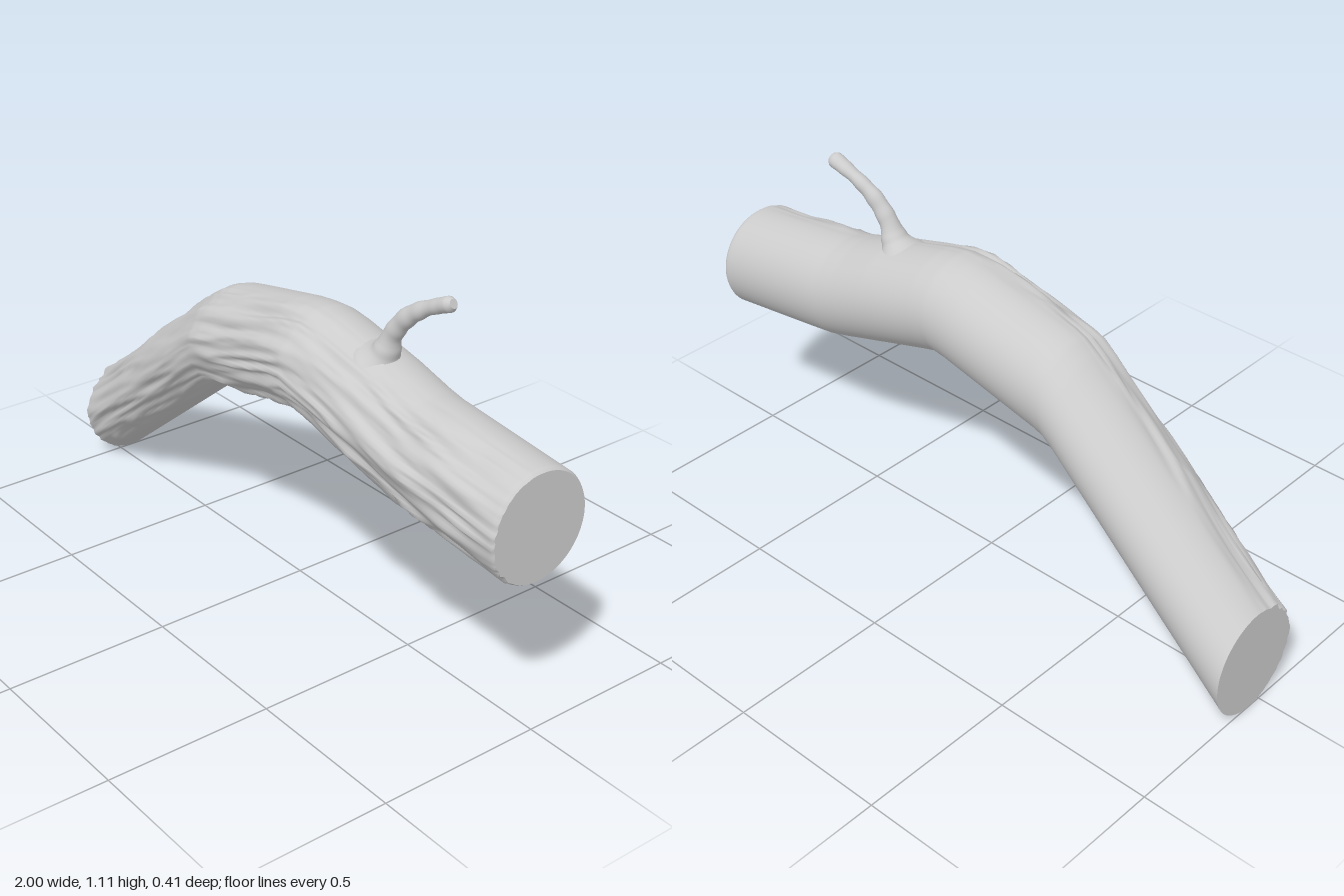
import * as THREE from 'three';

const material = new THREE.MeshStandardMaterial({ color: 0xcccccc, side: THREE.DoubleSide });

// Log outline along x: [x, top, bottom, back, front]
const outline = [
  [-1.0, 0.33, 0.0, -0.205, 0.118],
  [-0.4, 0.77, 0.455, -0.147, 0.178],
  [-0.34, 0.815, 0.5, -0.141, 0.184],
  [-0.29, 0.847, 0.534, -0.137, 0.19],
  [-0.25, 0.862, 0.545, -0.135, 0.192],
  [-0.2, 0.874, 0.555, -0.134, 0.193],
  [0.05, 0.928, 0.607, -0.128, 0.199],
  [0.11, 0.936, 0.62, -0.126, 0.2],
  [0.16, 0.938, 0.628, -0.126, 0.2],
  [0.22, 0.93, 0.612, -0.127, 0.198],
  [0.42, 0.882, 0.555, -0.133, 0.191],
  [0.54, 0.845, 0.521, -0.136, 0.187],
  [0.6, 0.831, 0.506, -0.138, 0.185],
  [0.68, 0.822, 0.496, -0.14, 0.184],
  [1.0, 0.784, 0.46, -0.146, 0.178],
];

function sample(table, x) {
  let i = 1;
  while (i < table.length - 1 && x > table[i][0]) i++;
  const a = table[i - 1], b = table[i];
  const t = (x - a[0]) / (b[0] - a[0]);
  return a.map((v, k) => v + (b[k] - v) * t);
}

// Smooth value noise on a hashed lattice
function hash(i, j) {
  const s = Math.sin(i * 127.1 + j * 311.7) * 43758.5453;
  return s - Math.floor(s);
}
function noise(u, v) {
  const i = Math.floor(u), j = Math.floor(v);
  const s = THREE.MathUtils.smoothstep(u - i, 0, 1), t = THREE.MathUtils.smoothstep(v - j, 0, 1);
  const a = hash(i, j) + (hash(i + 1, j) - hash(i, j)) * s;
  const b = hash(i, j + 1) + (hash(i + 1, j + 1) - hash(i, j + 1)) * s;
  return a + (b - a) * t;
}

// Long wavy bark ridges on the front half, plus two small knots underneath
function bark(x, a) {
  const mask = THREE.MathUtils.smoothstep(Math.sin(a + 0.1), 0.1, 0.55);
  const fade = 1 - 0.6 * THREE.MathUtils.smoothstep(x, 0.8, 1);
  const v = a + 0.12 * Math.sin(x * 5);
  const ridge = 1 - Math.abs(2 * noise(x * 3.5 + 20, v * 5) - 1);
  const fine = noise(x * 9 + 50, v * 12);
  let d = mask * fade * (0.02 * ridge + 0.009 * fine - 0.02);
  for (const [kx, ka] of [[-0.77, 2.5], [-0.92, 2.55]])
    d += 0.009 * Math.exp(-(((x - kx) / 0.03) ** 2) - ((a - ka) / 0.13) ** 2);
  return d;
}

// Skin a list of closed rings of points, with flat end caps
function loft(rings) {
  const n = rings[0].length, pts = rings.flat(), index = [];
  for (let i = 0; i < rings.length - 1; i++)
    for (let j = 0; j < n; j++) {
      const a = i * n + j, b = i * n + (j + 1) % n;
      index.push(a, b, a + n, b, b + n, a + n);
    }
  for (const end of [0, rings.length - 1]) {
    const ring = rings[end], start = pts.length;
    const mid = new THREE.Vector3();
    ring.forEach(p => mid.addScaledVector(p, 1 / n));
    pts.push(...ring, mid);
    for (let j = 0; j < n; j++) {
      const a = start + j, b = start + (j + 1) % n;
      index.push(start + n, ...(end ? [a, b] : [b, a]));
    }
  }
  const geometry = new THREE.BufferGeometry().setFromPoints(pts);
  geometry.setIndex(index);
  geometry.computeVertexNormals();
  return geometry;
}

function logGeometry() {
  const xs = [];
  for (let i = 0; i < 200; i++) xs.push(-1 + i * 0.01);
  xs.push(0.995, 1);
  const sides = 112;
  return loft(xs.map(x => {
    const [, top, bottom, back, front] = sample(outline, x);
    // Slightly rounded rim on the right end
    const rim = x > 0.999 ? 0.965 : x > 0.994 ? 0.985 : 1;
    return Array.from({ length: sides }, (_, j) => {
      const a = (j / sides) * Math.PI * 2, d = bark(x, a);
      return new THREE.Vector3(
        x,
        (top + bottom) / 2 + ((top - bottom) / 2 * rim + d) * Math.cos(a),
        (back + front) / 2 + ((front - back) / 2 * rim + d) * Math.sin(a));
    });
  }));
}

function twigGeometry() {
  const path = new THREE.CatmullRomCurve3([
    [0.385, 0.85, 0.03], [0.412, 0.9, 0.028], [0.432, 0.95, 0.025], [0.475, 1.008, 0.018],
    [0.53, 1.05, 0.01], [0.585, 1.078, 0.003], [0.632, 1.098, -0.002],
  ].map(p => new THREE.Vector3(...p)));
  // Flared foot, thin middle, swollen rounded tip: [t, radius]
  const radii = [[0, 0.085], [0.07, 0.06], [0.14, 0.042], [0.22, 0.031], [0.32, 0.026],
    [0.55, 0.025], [0.8, 0.021], [0.92, 0.024], [0.97, 0.022], [1, 0.013]];
  const steps = 60, sides = 20;
  const frames = path.computeFrenetFrames(steps);
  const rings = [];
  for (let i = 0; i <= steps; i++) {
    const t = i / steps, c = path.getPointAt(t), r = sample(radii, t)[1];
    rings.push(Array.from({ length: sides }, (_, j) => {
      const a = (j / sides) * Math.PI * 2;
      const k = r * (1 + 0.06 * Math.sin(2 * a + t * 9) + 0.04 * Math.sin(t * 40));
      return c.clone()
        .addScaledVector(frames.normals[i], k * Math.cos(a))
        .addScaledVector(frames.binormals[i], k * Math.sin(a));
    }));
  }
  return loft(rings);
}

export function createModel() {
  const group = new THREE.Group();
  group.name = 'fallenLog';
  for (const [name, geometry] of [['log', logGeometry()], ['twig', twigGeometry()]]) {
    const mesh = new THREE.Mesh(geometry, material);
    mesh.name = name;
    group.add(mesh);
  }
  return group;
}
